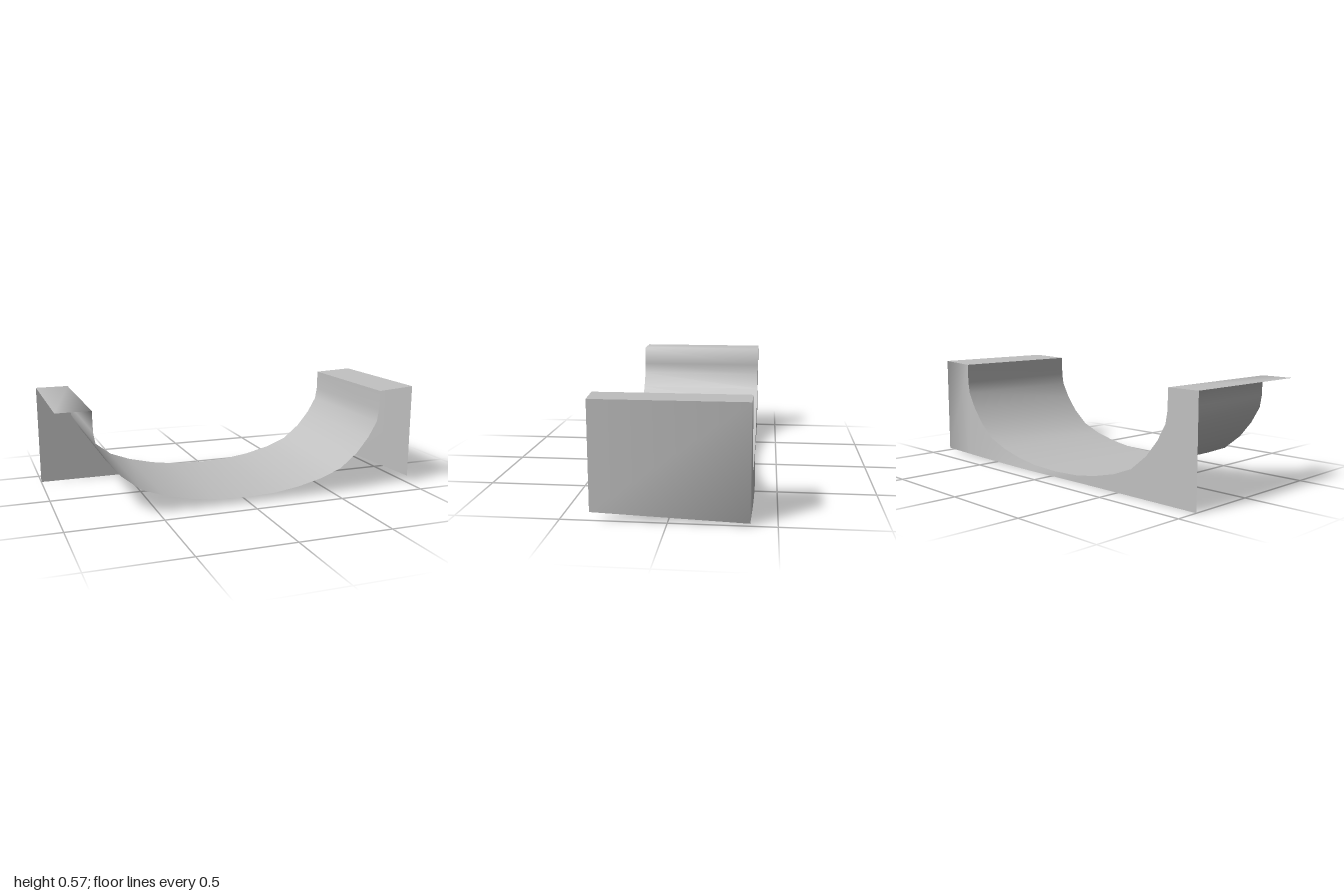
import * as THREE from 'three';

const grey = new THREE.MeshStandardMaterial({ color: 0xc0c0c0, side: THREE.DoubleSide });
grey.name = 'plain grey';

// Ruled surface between two rows of points, smooth along its length
function ruled(name, a, b) {
  const index = [];
  for (let i = 0; i < a.length - 1; i++) {
    const j = i + a.length;
    index.push(i, j, i + 1, i + 1, j, j + 1);
  }
  const g = new THREE.BufferGeometry();
  g.setAttribute('position', new THREE.Float32BufferAttribute([...a, ...b].flat(), 3));
  g.setIndex(index);
  g.computeVertexNormals();
  const mesh = new THREE.Mesh(g, grey);
  mesh.name = name;
  return mesh;
}

export function createModel() {
  const model = new THREE.Group();
  const CX = -0.022, FRONT = 0.385, BACK = -0.375, TOP = 0.557;

  // Half of the hollow's outline, from rim to lowest point
  const half = [[0.8, TOP], [0.798, 0.45], [0.787, 0.385], [0.738, 0.3], [0.668, 0.215],
    [0.568, 0.135], [0.45, 0.09], [0.312, 0.057], [0.175, 0.037]];
  const curve = [
    ...half.map(([x, y]) => [CX - x, y]),
    [CX, 0.03],
    ...half.slice().reverse().map(([x, y]) => [CX + x, y]),
  ];

  // Hollow, running smoothly out of the left-hand ledge
  const row = [[-1, TOP], ...curve];
  model.add(ruled('hollowAndLedge',
    row.map(([x, y]) => [x, y, BACK]),
    row.map(([x, y]) => [x, y, FRONT])));

  // Flat ledge on the other end, tapering at its front corner
  const rim = CX + 0.8;
  model.add(ruled('flatLedge',
    [[rim, TOP, BACK], [1, 0.567, BACK]],
    [[rim, TOP, FRONT], [1, 0.567, 0.36]]));

  // Back wall with a slightly bowed foot, turning the corner into the end wall
  const foot = (x) => [x, Math.max(0, (x - 0.2) * 0.015),
    BACK - 0.01 * Math.max(0, 1 - ((x - 0.45) / 0.55) ** 2)];
  const crest = [...row, [1, 0.567]];
  model.add(ruled('backAndEndWall',
    [...crest.map(([x]) => foot(x)), [1, 0.04, 0.36]],
    [...crest.map(([x, y]) => [x, y, BACK]), [1, 0.567, 0.36]]));

  return model;
}
